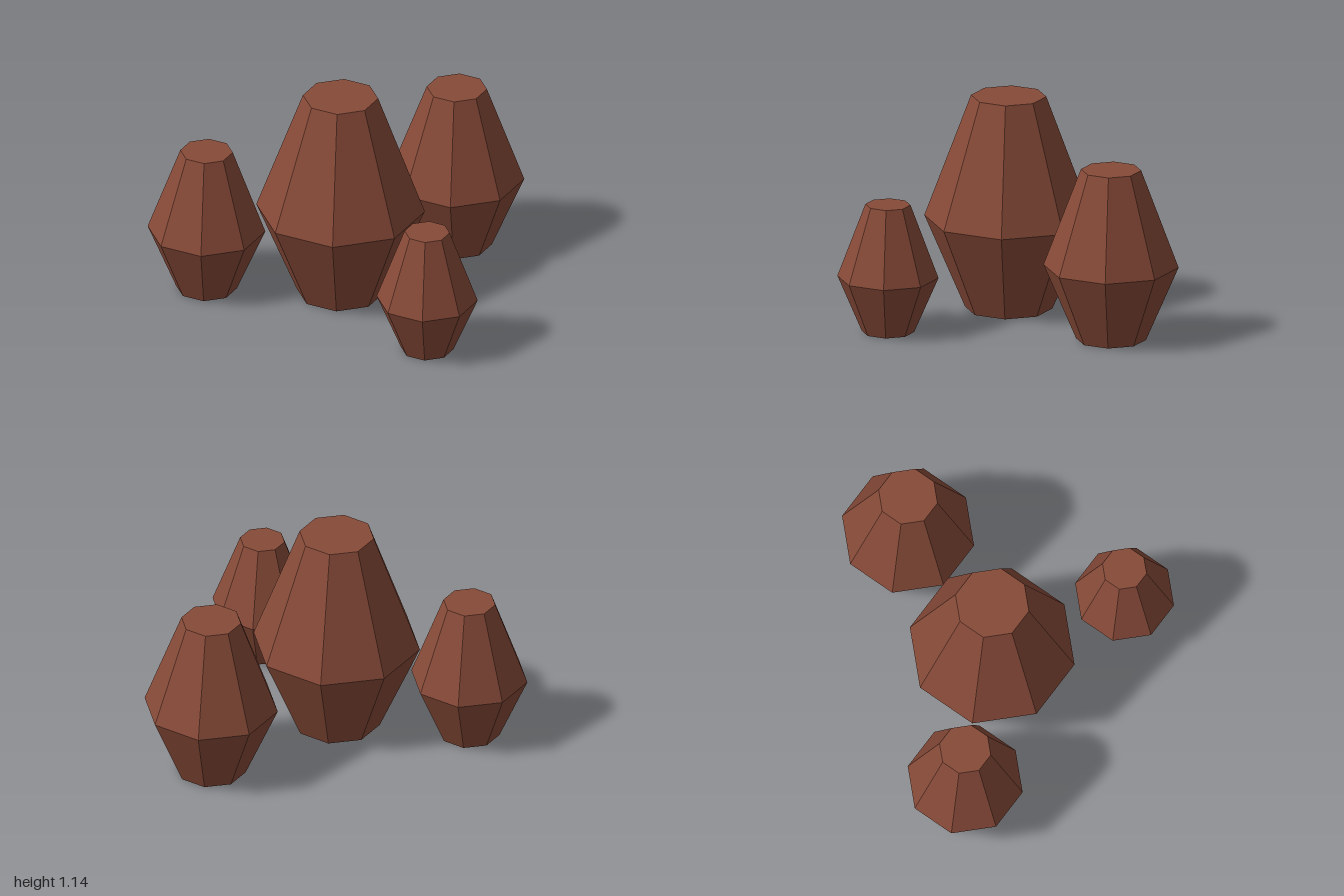
import * as THREE from 'three';

// Eight-sided rocks: flat-to-flat half width at the waist, waist height, total height
const ROCKS = [
  { name: 'largeRock', x: -0.063, z: -0.168, width: 0.407, waist: 0.49, height: 1.145 },
  { name: 'rightBackRock', x: 0.67, z: -0.495, width: 0.326, waist: 0.395, height: 0.915 },
  { name: 'leftBackRock', x: -0.717, z: -0.414, width: 0.284, waist: 0.343, height: 0.80 },
  { name: 'smallFrontRock', x: 0.182, z: 0.568, width: 0.244, waist: 0.295, height: 0.686 },
];
const SIDES = 8;
const BASE_RATIO = 0.518;
const TOP_RATIO = 0.446;

// Closed profile: narrow base, wide waist, narrow flat top
function rockGeometry({ width, waist, height }) {
  const radius = width / Math.cos(Math.PI / SIDES);
  const profile = [
    [0, 0],
    [radius * BASE_RATIO, 0],
    [radius, waist],
    [radius * TOP_RATIO, height],
    [0, height],
  ].map(([r, y]) => new THREE.Vector2(r, y));
  // Start half a side round so flat sides face the axes
  return new THREE.LatheGeometry(profile, SIDES, Math.PI / SIDES);
}

export function createModel() {
  const group = new THREE.Group();
  group.name = 'rockCluster';

  const stone = new THREE.MeshStandardMaterial({ color: 0x874a38, flatShading: true });
  stone.name = 'reddish brown stone';

  for (const rock of ROCKS) {
    const mesh = new THREE.Mesh(rockGeometry(rock), stone);
    mesh.name = rock.name;
    mesh.position.set(rock.x, 0, rock.z);
    group.add(mesh);
  }
  return group;
}
